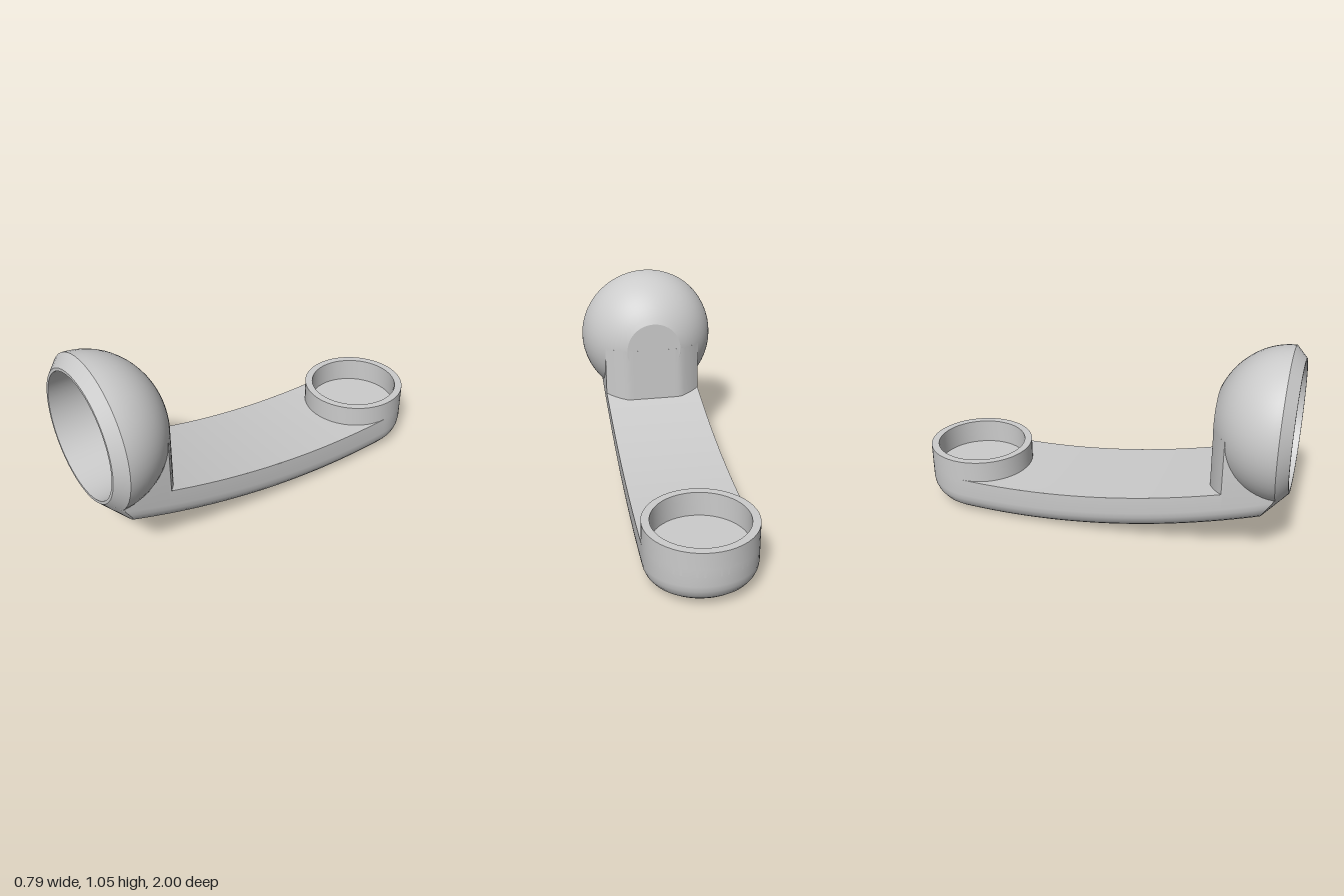
import * as THREE from 'three';
import { toCreasedNormals } from 'three/addons/utils/BufferGeometryUtils.js';

const HALF = 0.28;                       // half width of the handle
const CUP_Z = -0.72;                     // centre of the rear cup
const HEAD_Y = 0.66, HEAD_R = 0.394, HEAD_DEPTH = 0.368, RIM_Z = 0.945, BACK_Z = 0.607;
const ROUND = 0.11;                      // rounding of the lower handle edges

const bottomY = z => (z + 0.5) ** 2 / 8;
const topY = z => 0.205 + (z + 0.5) ** 2 / 8.4;
// front bevel of the head, continued outwards
const bevelZ = r => 1 - (r - 0.335) * 0.932;
const headR = (x, y) => Math.hypot(x, y - HEAD_Y);
// dome depth profile with its flat back
const domeZ = r => Math.max(BACK_Z, RIM_Z - HEAD_DEPTH * Math.sqrt(Math.max(0, 1 - (r / HEAD_R) ** 2)));

// surface through rows of points
function grid(rows) {
  const n = rows[0].length, index = [];
  for (let i = 0; i < rows.length - 1; i++) {
    for (let j = 0; j < n - 1; j++) {
      const a = i * n + j, c = a + n;
      index.push(a, a + 1, c, a + 1, c + 1, c);
    }
  }
  const g = new THREE.BufferGeometry();
  g.setAttribute('position', new THREE.Float32BufferAttribute(rows.flat(2), 3));
  g.setIndex(index);
  return g;
}

// half section of the handle: [inset, height above the bottom, pull towards the middle]
function halfSection() {
  const pts = [];
  for (let k = 0; k <= 6; k++) {
    const a = (k / 6) * Math.PI / 2;
    pts.push([ROUND * (1 - Math.cos(a)), ROUND * (1 - Math.sin(a)), 0]);
  }
  for (const f of [0.33, 0.67, 1]) pts.push([ROUND, 0, f]);
  return pts;
}

function handleRows() {
  // outline stations: x, z, outward direction
  const stations = [0.97, 0.85, 0.78, 0.7, 0.69].map(z => [HALF, z, 1, 0]);
  for (let k = 0; k <= 20; k++) stations.push([HALF, 0.66 + (CUP_Z - 0.66) * k / 20, 1, 0]);
  for (let k = 1; k <= 16; k++) {
    const a = (k / 16) * Math.PI / 2, c = Math.cos(a), s = Math.sin(a);
    stations.push([HALF * c, CUP_Z - HALF * s, c, -s]);
  }
  return stations.map(([X, Z, nx, nz]) => {
    // side wall rises into the head at the front
    const wallY = Z > 0.695 ? 0.5 : topY(Z);
    const half = [[X, wallY, Z]];
    for (const [inset, up, pull] of halfSection()) {
      const x = (X - inset * nx) * (1 - pull);
      let z = Z - inset * nz;
      for (let k = 0; k < 12; k++) {
        z = Math.min(Z - inset * nz, bevelZ(headR(x, bottomY(z) + up)));
      }
      half.push([x, bottomY(z) + up, z]);
    }
    const mirrored = half.slice(0, -1).reverse().map(([x, y, z]) => [-x, y, z]);
    return [...half, ...mirrored];
  });
}

export function createModel() {
  const group = new THREE.Group();
  const material = new THREE.MeshStandardMaterial({ color: 0xcccccc, side: THREE.DoubleSide });
  const add = (name, geometry) => {
    const mesh = new THREE.Mesh(toCreasedNormals(geometry, 0.35), material);
    mesh.name = name;
    group.add(mesh);
  };

  // curved handle with rounded underside and round rear end
  const rows = handleRows();
  add('handleShell', grid(rows));

  // bevelled front end of the handle, below the head
  const inner = rows[0].map(([x, y]) => {
    const r = 0.36, s = r / headR(x, y);
    return [x * s, HEAD_Y + (y - HEAD_Y) * s, bevelZ(r)];
  });
  add('handleFrontBevel', grid([inner, rows[0]]));

  // upper face of the handle, ending at the cup wall
  const topRows = [];
  for (let i = 0; i <= 20; i++) {
    const row = [];
    for (let j = 0; j <= 24; j++) {
      const a = (j / 24 - 0.5) * Math.PI;
      const z = THREE.MathUtils.lerp(0.72, CUP_Z + 0.275 * Math.cos(a), i / 20);
      row.push([HALF * Math.sin(a), topY(z), z]);
    }
    topRows.push(row);
  }
  add('handleTop', grid(topRows));

  // open cup at the rear
  const cup = [[0.28, 0.19], [0.28, 0.32], [0.24, 0.32], [0.24, 0.19], [0, 0.19]];
  const cupGeometry = new THREE.LatheGeometry(cup.map(p => new THREE.Vector2(...p)), 48);
  add('rearCup', cupGeometry.translate(0, 0, CUP_Z));

  // domed head with a flat back, bevelled rim and round recess
  const dome = [[0, BACK_Z]];
  for (let k = 0; k <= 14; k++) {
    const a = THREE.MathUtils.lerp(Math.asin(0.158 / HEAD_R), Math.PI / 2, k / 14);
    const r = HEAD_R * Math.sin(a);
    dome.push([r, domeZ(r)]);
  }
  dome.push([0.335, 1], [0.32, 1], [0.32, 0.78], [0, 0.78]);
  const domeGeometry = new THREE.LatheGeometry(dome.map(p => new THREE.Vector2(...p)), 56);
  add('head', domeGeometry.rotateX(Math.PI / 2).translate(0, HEAD_Y, 0));

  // neck: the back of the dome carried straight down to the handle
  const plan = [];
  for (let k = 0; k <= 24; k++) {
    const x = HALF * (k / 12 - 1);
    plan.push(new THREE.Vector2(x, -domeZ(Math.abs(x))));
  }
  plan.push(new THREE.Vector2(HALF, -0.775), new THREE.Vector2(-HALF, -0.775));
  const neck = new THREE.ExtrudeGeometry(new THREE.Shape(plan), { depth: HEAD_Y - 0.342, bevelEnabled: false });
  add('neck', neck.rotateX(-Math.PI / 2).translate(0, 0.342, 0));

  return group;
}
